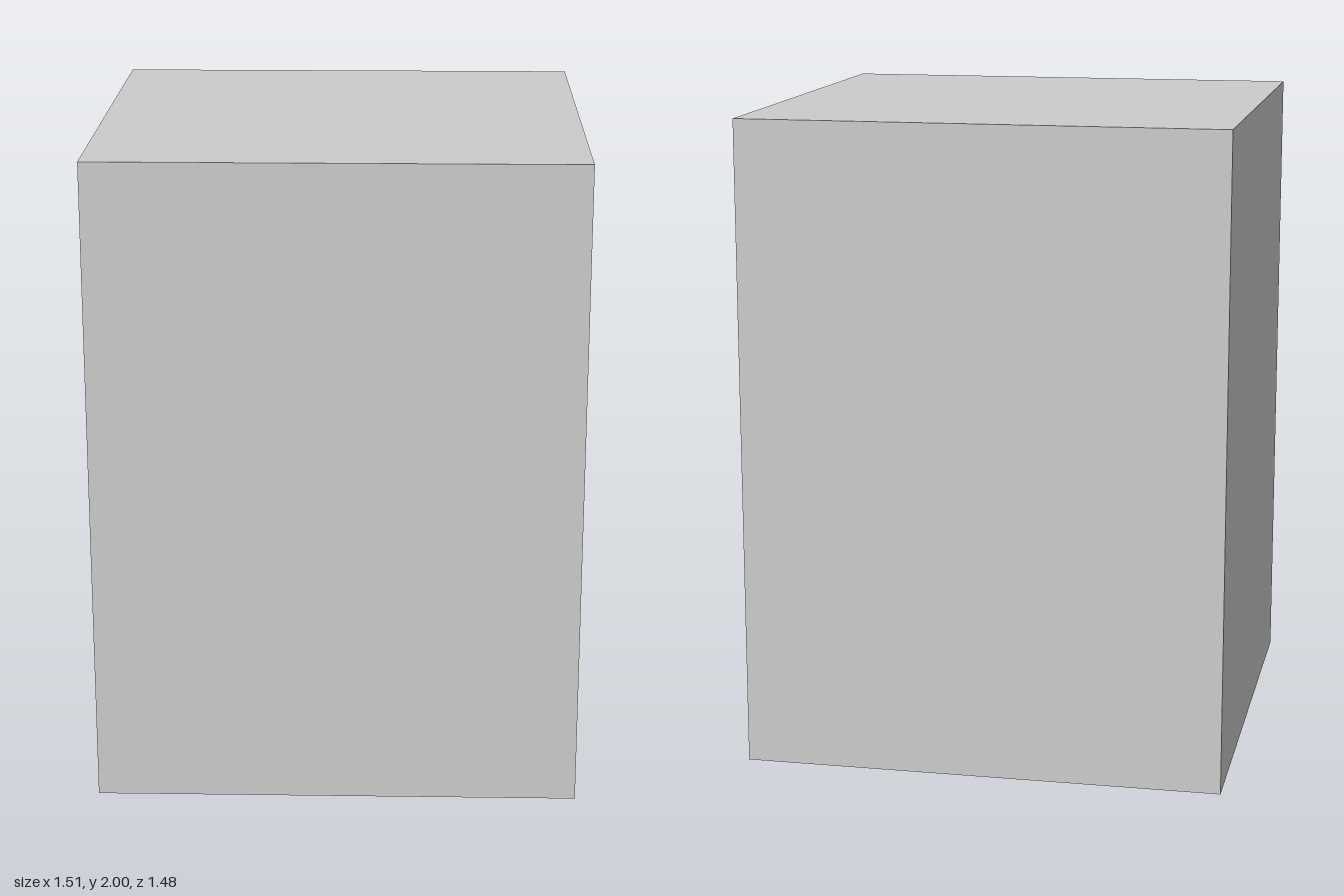
import * as THREE from 'three';

export function createModel() {
  const model = new THREE.Group();
  model.name = 'drawerCabinet';
  const material = new THREE.MeshStandardMaterial({ color: 0xcccccc });

  // Box given by its min and max on each axis
  function addBox(parent, name, [x0, x1], [y0, y1], [z0, z1]) {
    const mesh = new THREE.Mesh(new THREE.BoxGeometry(x1 - x0, y1 - y0, z1 - z0), material);
    mesh.position.set((x0 + x1) / 2, (y0 + y1) / 2, (z0 + z1) / 2);
    mesh.name = name;
    parent.add(mesh);
  }

  const back = -0.755, front = 0.723, half = 0.74, inner = 0.685;
  const floor = 0.08, ceiling = 1.929;

  // Carcass: a rectangular tube, open towards +x, closed by a back panel
  const outline = new THREE.Shape([
    new THREE.Vector2(-half, 0), new THREE.Vector2(half, 0),
    new THREE.Vector2(half, 2), new THREE.Vector2(-half, 2),
  ]);
  outline.holes.push(new THREE.Path([
    new THREE.Vector2(-inner, floor), new THREE.Vector2(-inner, ceiling),
    new THREE.Vector2(inner, ceiling), new THREE.Vector2(inner, floor),
  ]));
  const backThickness = 0.05;
  const shell = new THREE.ExtrudeGeometry(outline, { depth: front - back, bevelEnabled: false });
  shell.rotateY(Math.PI / 2).translate(back, 0, 0);
  const carcass = new THREE.Mesh(shell, material);
  carcass.name = 'carcass';
  model.add(carcass);
  addBox(model, 'backPanel', [back, back + backThickness], [floor, ceiling], [-inner, inner]);

  // Rails between the drawers
  for (const y of [0.678, 1.304]) {
    addBox(model, 'rail', [0.60, 0.693], [y, y + 0.032], [-inner, inner]);
  }

  // Drawers, each with a bar handle on two short legs
  const face = 0.67, width = 0.68, reach = 0.755, bar = 0.728, grip = 0.216;
  for (const [bottom, top] of [[0.087, 0.673], [0.717, 1.299], [1.342, 1.925]]) {
    const drawer = new THREE.Group();
    drawer.name = 'drawer';
    addBox(drawer, 'drawerFront', [face - 0.05, face], [bottom, top], [-width, width]);

    const middle = (bottom + top) / 2 + 0.002;
    const height = [middle - 0.033, middle + 0.033];
    addBox(drawer, 'handleBar', [bar, reach], height, [-grip, grip]);
    for (const z of [-grip, grip - 0.02]) {
      addBox(drawer, 'handleLeg', [face, bar], height, [z, z + 0.02]);
    }
    model.add(drawer);
  }
  return model;
}
